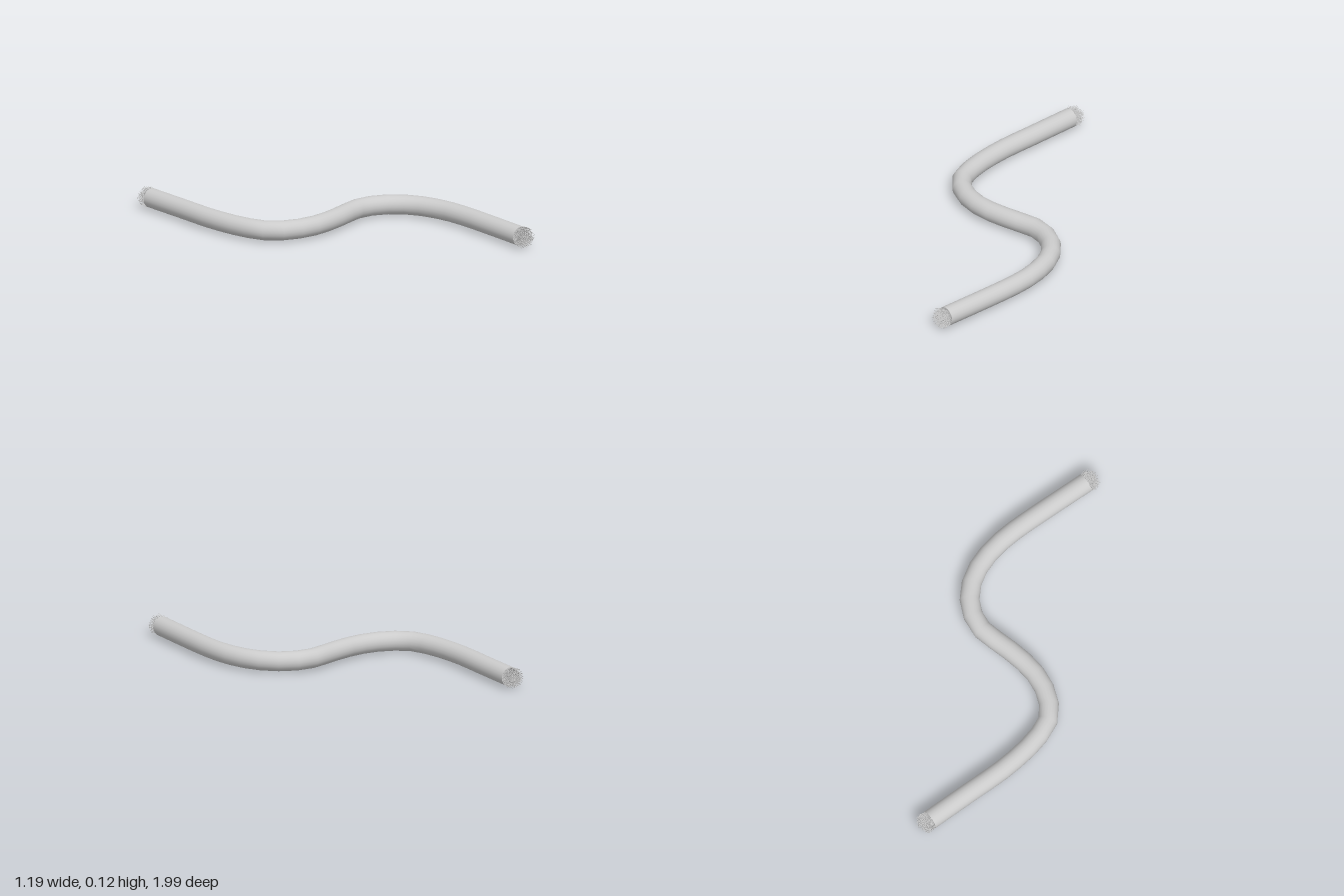
import * as THREE from 'three';
import { mergeGeometries } from 'three/addons/utils/BufferGeometryUtils.js';

const RADIUS = 0.054, HEIGHT = 0.065;

// Small seeded generator for the uneven strands
function seeded(seed) {
  return () => (seed = (seed * 16807) % 2147483647) / 2147483647;
}

// Tuft of thin strands fanning out along +z from a rope end
function strandTuft(seed) {
  const rand = seeded(seed), up = new THREE.Vector3(0, 1, 0), strands = [];
  const count = 170;
  for (let i = 0; i < count; i++) {
    const t = Math.sqrt((i + 0.5) / count), a = i * 2.39996;
    const base = new THREE.Vector3(Math.cos(a) * t * 0.05, Math.sin(a) * t * 0.05, 0);
    const spread = t * (0.056 + 0.009 * rand());
    const tip = new THREE.Vector3(Math.cos(a) * spread, Math.sin(a) * spread,
      (0.03 + 0.045 * Math.sqrt(1 - t * t)) * (0.75 + 0.3 * rand()));
    const dir = tip.clone().sub(base);
    const strand = new THREE.CylinderGeometry(0.0008, 0.0018, dir.length(), 4, 1);
    strand.applyQuaternion(new THREE.Quaternion().setFromUnitVectors(up, dir.clone().normalize()));
    const mid = base.add(tip).multiplyScalar(0.5);
    strand.translate(mid.x, mid.y, mid.z);
    strands.push(strand);
  }
  return mergeGeometries(strands);
}

export function createModel() {
  const group = new THREE.Group();
  const material = new THREE.MeshStandardMaterial({ color: 0xcccccc });

  // Centre line, lying flat: x, z
  const path = new THREE.CatmullRomCurve3([
    [-0.535, -0.92], [-0.535, -0.66], [-0.534, -0.41], [-0.505, -0.2], [-0.45, -0.06],
    [-0.34, 0.015], [-0.18, 0.04], [0, 0.008], [0.2, -0.042], [0.34, -0.005],
    [0.45, 0.1], [0.515, 0.26], [0.535, 0.42], [0.535, 0.62], [0.528, 0.915],
  ].map(([x, z]) => new THREE.Vector3(x, HEIGHT, z)));

  // Rope body
  const rope = new THREE.Mesh(new THREE.TubeGeometry(path, 28, RADIUS, 20, false), material);
  rope.name = 'rope';
  group.add(rope);

  // Cut face and frayed strands at both ends
  for (const [name, t, sign] of [['back', 0, -1], ['front', 1, 1]]) {
    const end = new THREE.Group();
    end.name = name + 'End';
    end.position.copy(path.getPointAt(t));
    end.lookAt(end.position.clone().addScaledVector(path.getTangentAt(t), sign));
    const face = new THREE.Mesh(new THREE.CircleGeometry(RADIUS, 20), material);
    face.name = name + 'CutFace';
    const tuft = new THREE.Mesh(strandTuft(11 + t * 50), material);
    tuft.name = name + 'FrayedStrands';
    end.add(face, tuft);
    group.add(end);
  }
  return group;
}
